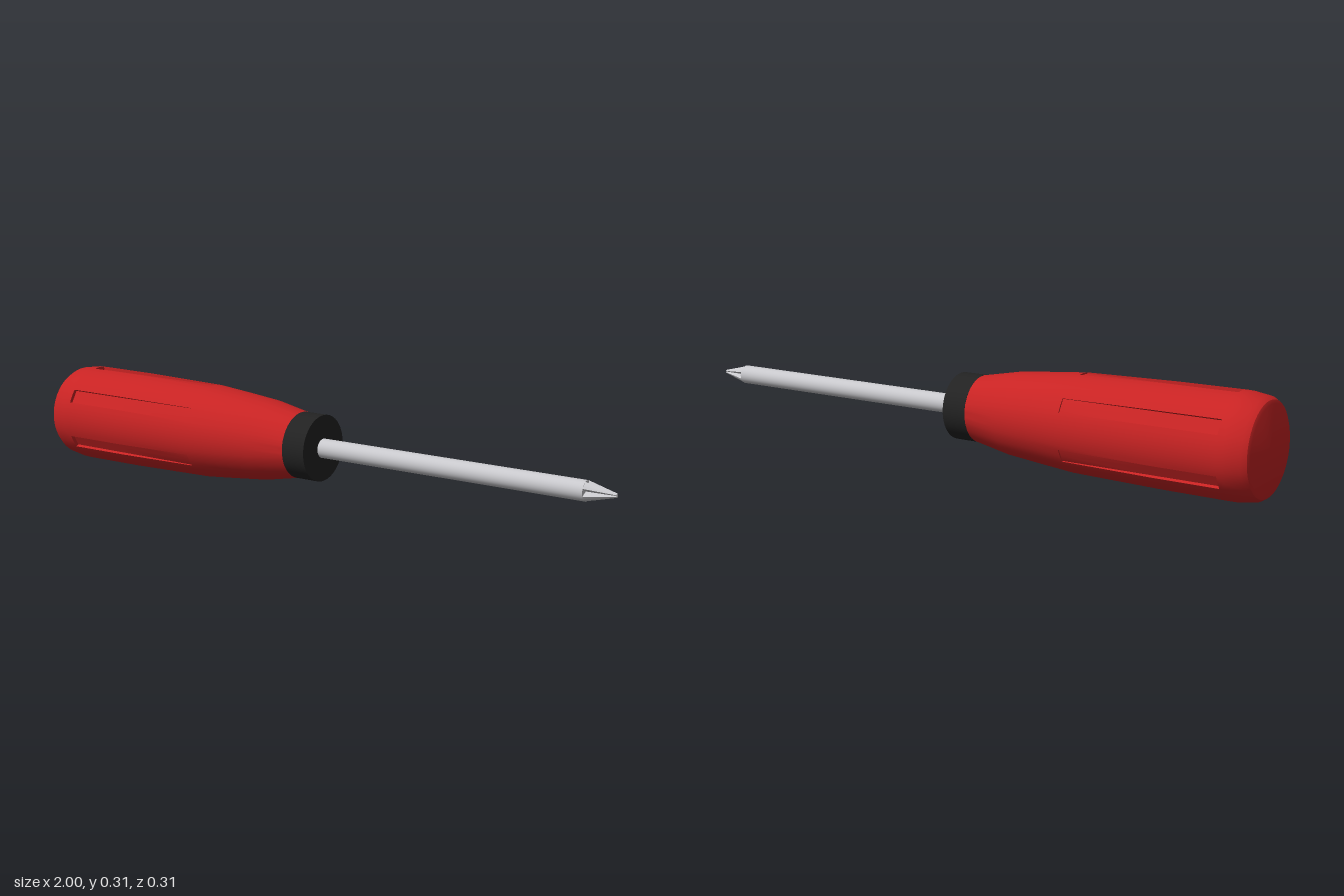
import * as THREE from 'three';
import { toCreasedNormals } from 'three/addons/utils/BufferGeometryUtils.js';

const AXIS = 0.155; // height of the tool's axis

// Skin closed cross-sections along x; each ring is { x, pts: [[y, z], ...] }, both ends capped
function loft(rings, crease) {
  const pos = [];
  const vert = (r, j) => {
    const p = r.pts[j % r.pts.length];
    return new THREE.Vector3(r.x, p[0], p[1]);
  };
  const tri = (a, b, c) => {
    const area = b.clone().sub(a).cross(c.clone().sub(a)).length();
    if (area > 1e-9) pos.push(...a.toArray(), ...b.toArray(), ...c.toArray());
  };
  const n = rings[0].pts.length;
  const first = rings[0], last = rings[rings.length - 1];
  for (let j = 0; j < n; j++) {
    for (let i = 0; i < rings.length - 1; i++) {
      const a = vert(rings[i], j), b = vert(rings[i + 1], j);
      const c = vert(rings[i + 1], j + 1), d = vert(rings[i], j + 1);
      tri(a, d, c);
      tri(a, c, b);
    }
    tri(new THREE.Vector3(first.x, 0, 0), vert(first, j + 1), vert(first, j));
    tri(new THREE.Vector3(last.x, 0, 0), vert(last, j), vert(last, j + 1));
  }
  const g = new THREE.BufferGeometry();
  g.setAttribute('position', new THREE.Float32BufferAttribute(pos, 3));
  return toCreasedNormals(g, crease);
}

// Handle section: a circle with six flat-bottomed slots when floor is given
function handleRing(x, r, floor) {
  const w = 0.0225, pts = [];
  const h = Math.sqrt(r * r - w * w), edge = Math.asin(w / r);
  for (let k = 0; k < 6; k++) {
    const a = k * Math.PI / 3;
    const add = (u, v) => pts.push([
      v * Math.cos(a) - u * Math.sin(a),
      v * Math.sin(a) + u * Math.cos(a),
    ]);
    add(-w, h);
    add(-w, floor ?? h);
    add(0, floor ?? r);
    add(w, floor ?? h);
    add(w, h);
    for (let s = 1; s < 8; s++) {
      const t = edge + (Math.PI / 3 - 2 * edge) * s / 8;
      add(r * Math.sin(t), r * Math.cos(t));
    }
  }
  return { x, pts };
}

// Tip section: four ribs with V flutes between them
function tipRing(x, r, inner) {
  const pts = [];
  for (let k = 0; k < 4; k++) {
    const a = k * Math.PI / 2;
    pts.push([inner * Math.cos(a), inner * Math.sin(a)]);
    for (let s = -2; s <= 2; s++) {
      const t = a + Math.PI / 4 + s * 0.2;
      pts.push([r * Math.cos(t), r * Math.sin(t)]);
    }
  }
  return { x, pts };
}

function rod(r, x0, x1, segments) {
  const g = new THREE.CylinderGeometry(r, r, x1 - x0, segments);
  return g.rotateZ(-Math.PI / 2).translate((x0 + x1) / 2, 0, 0);
}

export function createModel() {
  const mat = (name, color) => {
    const m = new THREE.MeshStandardMaterial({ color });
    m.name = name;
    return m;
  };
  const red = mat('red plastic', 0xc82323);
  const black = mat('black rubber', 0x222222);
  const steel = mat('steel', 0xc8c8cc);

  const model = new THREE.Group();
  model.name = 'screwdriver';
  const add = (name, geometry, material) => {
    const mesh = new THREE.Mesh(geometry, material);
    mesh.name = name;
    mesh.position.y = AXIS;
    model.add(mesh);
  };

  // Grip with rounded butt, tapering forward, slotted between x = -0.91 and -0.41
  const floor = 0.143;
  const profile = [
    [-1, 0.128], [-0.995, 0.138], [-0.98, 0.147], [-0.93, 0.1545], [-0.91, 0.155],
    [-0.91, 0.155, floor], [-0.7, 0.154, floor], [-0.41, 0.148, floor],
    [-0.41, 0.148], [-0.3, 0.138], [-0.18, 0.126], [-0.06, 0.103],
  ];
  add('handle', loft(profile.map((p) => handleRing(...p)), 0.5), red);

  // Collar, shaft and fluted tip
  add('collar', rod(0.103, -0.06, 0.02, 64), black);
  add('shaft', rod(0.03, 0.02, 0.91, 32), steel);
  add('tip', loft([tipRing(0.908, 0.03, 0.008), tipRing(1, 0.006, 0.004)], 0.4), steel);

  return model;
}
